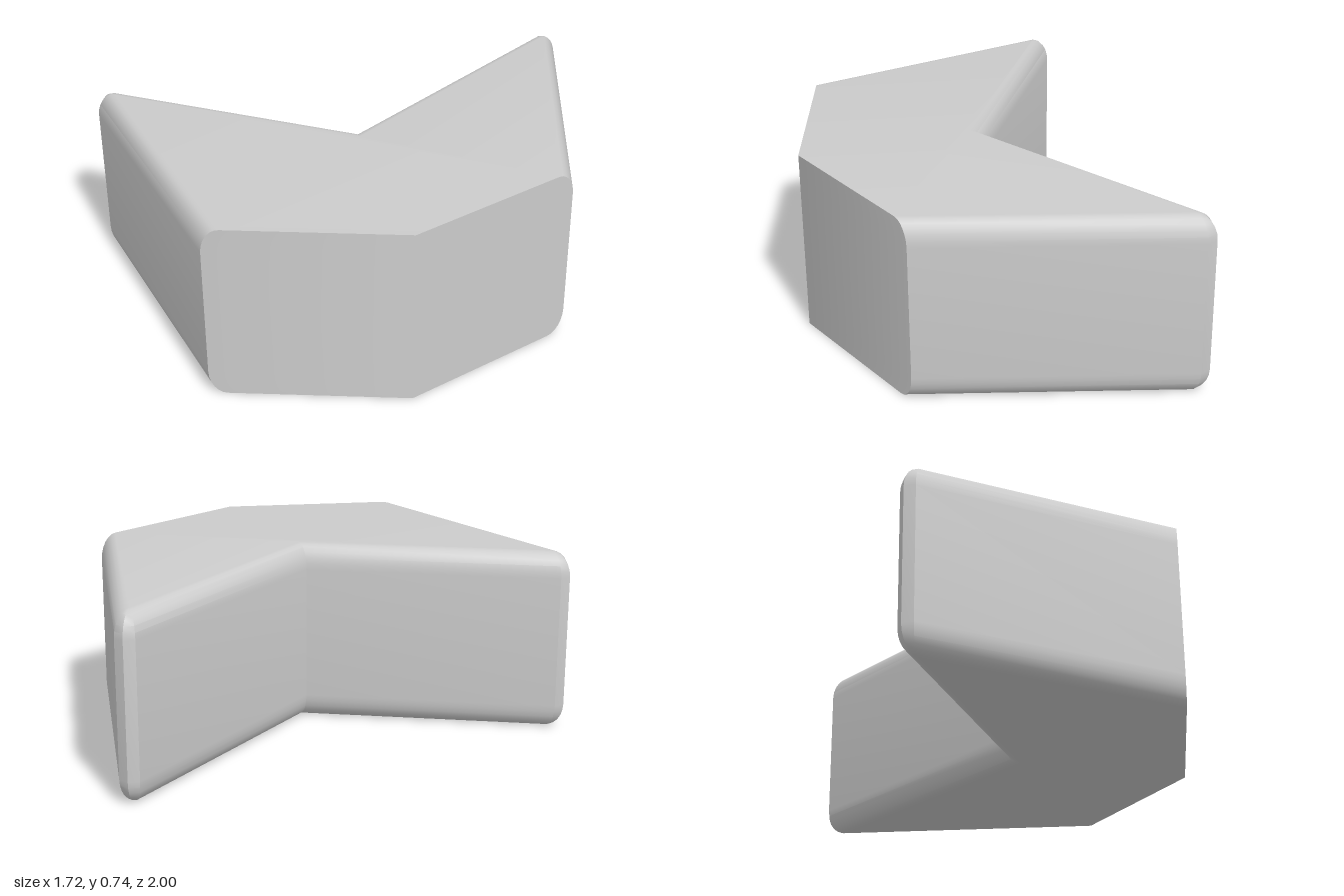
import * as THREE from 'three';
import { toCreasedNormals } from 'three/addons/utils/BufferGeometryUtils.js';

const HEIGHT = 0.74, INSET = 0.06, ROUND = 0.1, STEPS = 6;

// Plan outline (x, z). bevel: the side leaving this corner is rounded over.
// tip: the sharp point is blunted by this length along each side.
const CORNERS = [
  { x: 0.048, z: -1.076, bevel: 1, tip: 0.11 },
  { x: 0.86, z: -0.22, bevel: 0 },
  { x: 0.73, z: 0.49, bevel: 0 },
  { x: 0.17, z: 1.0, bevel: 1 },
  { x: -0.934, z: 0.643, bevel: 1, tip: 0.105 },
  { x: 0.07, z: 0.13, bevel: 1 },
];

// Outline with its bevelled sides moved inward by d
function outline(d) {
  const n = CORNERS.length;
  const sides = CORNERS.map((c, i) => {
    const e = CORNERS[(i + 1) % n];
    const dir = new THREE.Vector2(e.x - c.x, e.z - c.z).normalize();
    const inward = new THREE.Vector2(-dir.y, dir.x);
    return { dir, p: new THREE.Vector2(c.x, c.z).addScaledVector(inward, d * c.bevel) };
  });
  const points = [];
  CORNERS.forEach((c, i) => {
    const a = sides[(i + n - 1) % n], b = sides[i];
    const t = b.p.clone().sub(a.p).cross(b.dir) / a.dir.cross(b.dir);
    const corner = a.p.clone().addScaledVector(a.dir, t);
    if (!c.tip) { points.push(corner); return; }
    // blunt tip, shrinking to a point as the bevels meet
    const cut = c.tip * Math.max(0.02, 1 - d / INSET);
    const p = corner.clone().addScaledVector(a.dir, -cut);
    const q = corner.clone().addScaledVector(b.dir, cut);
    const mid = p.clone().add(q).multiplyScalar(0.5).lerp(corner, 0.22);
    points.push(p, mid, q);
  });
  return points;
}

function wedgeGeometry() {
  // Rounded profile from bottom to top
  const rings = [];
  for (let k = 0; k <= STEPS; k++) {
    const a = (k / STEPS) * Math.PI / 2;
    rings.push({ d: INSET * (1 - Math.sin(a)), y: ROUND * (1 - Math.cos(a)) });
  }
  for (let k = STEPS; k >= 0; k--) rings.push({ d: rings[k].d, y: HEIGHT - rings[k].y });

  const loops = rings.map((r) => outline(r.d));
  const m = loops[0].length, positions = [], index = [];
  loops.forEach((loop, k) => loop.forEach((p) => positions.push(p.x, rings[k].y, p.y)));

  // Walls
  for (let k = 0; k < loops.length - 1; k++) {
    for (let i = 0; i < m; i++) {
      const j = (i + 1) % m, a = k * m, b = a + m;
      index.push(a + i, b + i, b + j, a + i, b + j, a + j);
    }
  }
  // Flat bottom and top
  const top = loops[loops.length - 1], start = (loops.length - 1) * m;
  for (const [a, b, c] of THREE.ShapeUtils.triangulateShape(top, [])) {
    const turn = top[b].clone().sub(top[a]).cross(top[c].clone().sub(top[a]));
    const [u, v] = turn > 0 ? [c, b] : [b, c];
    index.push(start + a, start + u, start + v, a, v, u);
  }

  const geometry = new THREE.BufferGeometry();
  geometry.setAttribute('position', new THREE.Float32BufferAttribute(positions, 3));
  geometry.setIndex(index);
  return toCreasedNormals(geometry, THREE.MathUtils.degToRad(38));
}

export function createModel() {
  const group = new THREE.Group();
  group.name = 'angledBlock';
  const body = new THREE.Mesh(wedgeGeometry(), new THREE.MeshStandardMaterial({ color: 0xcccccc }));
  body.name = 'bevelledBody';
  group.add(body);
  return group;
}
